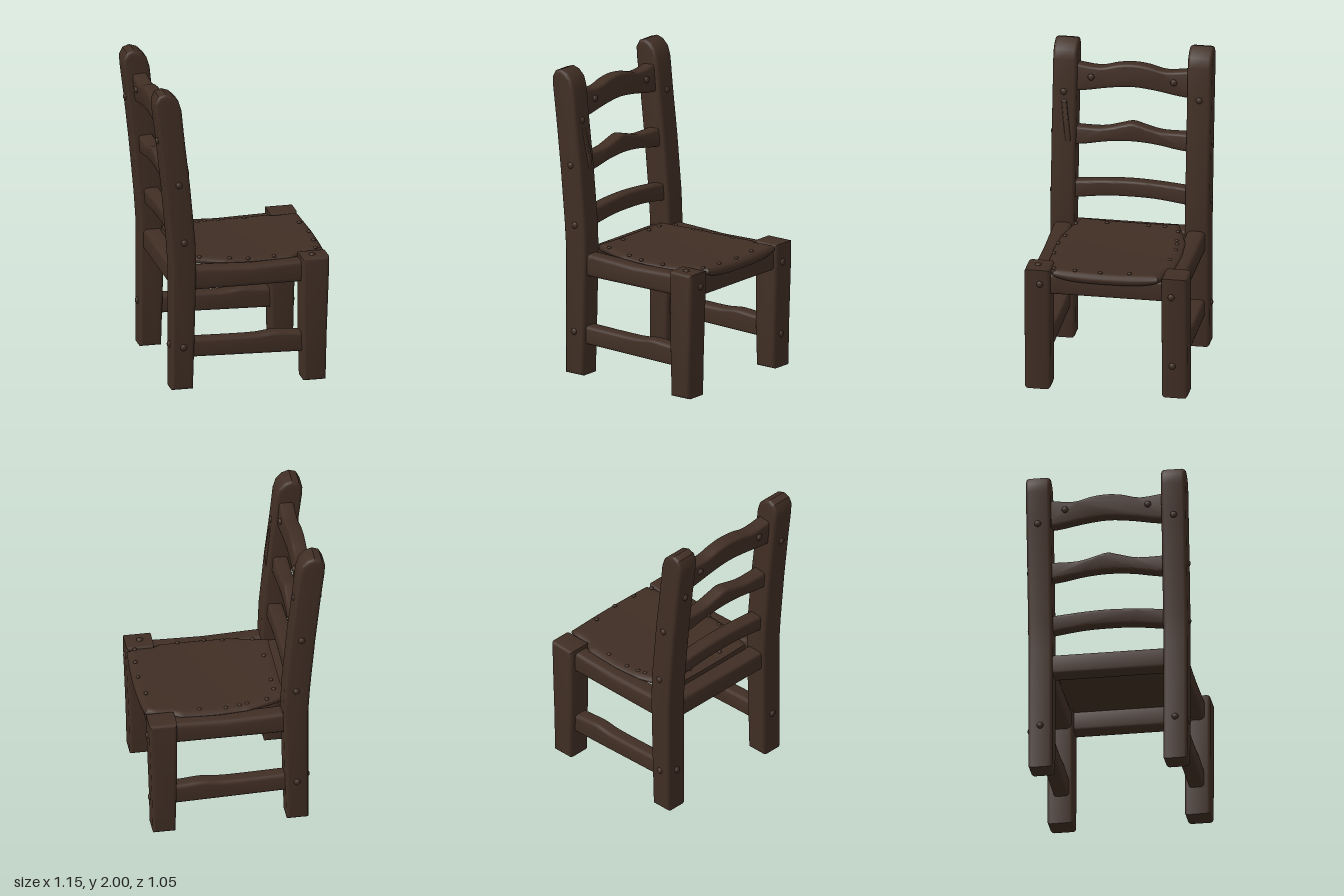
import * as THREE from 'three';
import { toCreasedNormals, mergeVertices } from 'three/addons/utils/BufferGeometryUtils.js';

const wood = new THREE.MeshStandardMaterial({ color: 0x402e24 });
wood.name = 'dark brown wood';

function add(group, name, geometry) {
  const mesh = new THREE.Mesh(geometry, wood);
  mesh.name = name;
  group.add(mesh);
  return mesh;
}

// Rounded slab: a closed outline in XY, centred in depth
function slab(points, depth, bevel = 0.022) {
  const shape = new THREE.Shape(points.map(([x, y]) => new THREE.Vector2(x, y)));
  const g = new THREE.ExtrudeGeometry(shape, {
    depth: depth - 2 * bevel, bevelEnabled: true, bevelThickness: bevel,
    bevelSize: bevel, bevelOffset: -bevel, bevelSegments: 3,
  });
  g.translate(0, 0, bevel - depth / 2);
  return toCreasedNormals(g, 0.6);
}

// Smooth samples through a few points
const smooth = (pts, n = 20) =>
  new THREE.SplineCurve(pts.map(([x, y]) => new THREE.Vector2(x, y))).getPoints(n).map((p) => [p.x, p.y]);

// Domed peg head, flattened along one axis
function peg(group, axis, x, y, z, r = 0.022) {
  const m = add(group, 'peg', new THREE.SphereGeometry(r, 12, 8));
  m.scale[axis] = 0.7;
  m.position.set(x, y, z);
}

// Leather seat: a subdivided box with shaped sides, sagging top and a front lip
function seatGeometry() {
  const outline = [[-0.345, 0.32], [-0.25, 0.355], [-0.1, 0.4], [0.1, 0.412], [0.34, 0.405],
    [0.39, 0.372], [0.5, 0.362], [0.56, 0.34]];
  const halfWidth = (x) => {
    for (let i = 1; i < outline.length; i++) {
      const [x0, w0] = outline[i - 1], [x1, w1] = outline[i];
      if (x <= x1) return THREE.MathUtils.lerp(w0, w1, (x - x0) / (x1 - x0));
    }
    return 0.34;
  };
  let g = new THREE.BoxGeometry(2, 2, 2, 48, 4, 28);
  g.deleteAttribute('uv');
  g.deleteAttribute('normal');
  g = mergeVertices(g);
  const p = g.attributes.position;
  for (let i = 0; i < p.count; i++) {
    const u = p.getX(i), v = p.getY(i), w = p.getZ(i);
    const x = THREE.MathUtils.lerp(-0.345, 0.56, (u + 1) / 2);
    const round = 1 - 0.025 * v * v;
    const lip = THREE.MathUtils.smoothstep(x, 0.46, 0.54) * (1 - w ** 4);
    const top = 0.838 - 0.022 * (1 - u * u) - 0.008 * (1 - w * w) - 0.012 * Math.max(u ** 24, w ** 24);
    const bottom = 0.785 - 0.025 * lip;
    const bulge = Math.max(0, u) ** 6 * 0.016 * (1 - w * w);
    p.setXYZ(i, x * (u > 0.95 ? round : 1) + bulge,
      THREE.MathUtils.lerp(bottom, top, (v + 1) / 2), halfWidth(x) * w * round);
  }
  return toCreasedNormals(g, 0.7);
}

export function createModel() {
  const chair = new THREE.Group();
  chair.name = 'ladderBackChair';

  const postOutline = [[-0.47, 0], [-0.33, 0], [-0.318, 0.4], [-0.308, 0.82], [-0.315, 1], [-0.35, 1.38],
    [-0.385, 1.68], [-0.405, 1.88], [-0.425, 1.945], [-0.465, 1.985], [-0.51, 2], [-0.555, 1.985],
    [-0.578, 1.94], [-0.575, 1.88], [-0.55, 1.68], [-0.515, 1.36], [-0.482, 1], [-0.47, 0.82]];
  const legOutline = [[0.39, 0], [0.535, 0], [0.542, 0.3], [0.556, 0.68], [0.558, 0.825], [0.38, 0.825], [0.38, 0.4]];
  const stretcherOutline = [[-0.37, 0.206], [0.45, 0.184],
    ...smooth([[0.45, 0.312], [0.32, 0.322], [0.2, 0.33], [0.05, 0.318], [-0.37, 0.328]])];

  for (const s of [1, -1]) {
    // Uprights and side frame
    add(chair, 'backPost', slab(postOutline, 0.157)).position.z = s * 0.435;
    add(chair, 'frontLeg', slab(legOutline, 0.168)).position.z = s * 0.443;
    add(chair, 'sideStretcher', slab(stretcherOutline, 0.1)).position.z = s * 0.435;
    const rail = slab([[-0.37, 0.655], [0.45, 0.655], [0.45, 0.8], [0.05, 0.79], [-0.37, 0.805]], 0.12, 0.03);
    add(chair, 'sideSeatRail', rail).position.z = s * 0.43;

    // Pegs on the outer sides
    for (const [x, y] of [[-0.425, 1.38], [-0.39, 0.99], [-0.395, 0.285]]) peg(chair, 'z', x, y, s * 0.512);
    // Pegs on the front and back faces
    peg(chair, 'x', -0.387, 1.67, s * 0.438);
    peg(chair, 'x', -0.549, 1.67, s * 0.438);
    peg(chair, 'x', -0.472, 0.29, s * 0.435);
    peg(chair, 'x', 0.556, s > 0 ? 0.73 : 0.7, s * 0.425);
    for (const x of [-0.416, -0.519]) peg(chair, 'x', x, 1.77, s * 0.267);
  }
  peg(chair, 'x', 0.54, 0.22, -0.43);
  peg(chair, 'y', 0.46, 0.823, 0.45);

  // Front and back seat rails
  const crossRail = [[-0.4, 0.655], [0.4, 0.655], [0.4, 0.79], [-0.4, 0.79]];
  for (const [name, x] of [['frontSeatRail', 0.475], ['backSeatRail', -0.39]]) {
    add(chair, name, slab(crossRail, 0.12).rotateY(-Math.PI / 2)).position.x = x;
  }

  // Curved ladder slats: mirrored bottom and top edges as [z, y]
  const slats = [
    { x: -0.396, y: 1.02, low: [[0.4, 0.95], [0.3, 0.965], [0.15, 0.982]], lowMid: 0.986, high: [[0.4, 1.065], [0.3, 1.075], [0.15, 1.087]], highMid: 1.092 },
    { x: -0.432, y: 1.39, low: [[0.4, 1.305], [0.3, 1.316], [0.15, 1.342]], lowMid: 1.352, high: [[0.4, 1.43], [0.2, 1.428], [0.08, 1.455]], highMid: 1.474 },
    { x: -0.468, y: 1.77, low: [[0.4, 1.663], [0.3, 1.672], [0.15, 1.698]], lowMid: 1.712, high: [[0.4, 1.852], [0.22, 1.83], [0.1, 1.856]], highMid: 1.866 },
  ];
  for (const { x, y, low, lowMid, high, highMid } of slats) {
    const edge = (pts, mid) => smooth([...pts.map(([z, h]) => [-z, h - y]), [0, mid - y],
      ...[...pts].reverse().map(([z, h]) => [z, h - y])], 24);
    const g = slab([...edge(low, lowMid), ...edge(high, highMid).reverse()], 0.095, 0.018);
    g.rotateY(-Math.PI / 2).rotateZ(0.085);
    add(chair, 'backSlat', g).position.set(x, y, 0);
  }

  // Raised splinter on one back post
  const splinter = slab([[-0.38, 1.62], [-0.4, 1.3], [-0.352, 1.29], [-0.337, 1.42], [-0.352, 1.5], [-0.37, 1.61]], 0.035, 0.008);
  const chip = add(chair, 'splinter', splinter.translate(0, -1.45, 0).rotateX(0.12));
  chip.position.set(0, 1.45, 0.415);

  // Seat and its tacks
  add(chair, 'seat', seatGeometry());
  const tacks = [[-0.29, -0.235], [-0.29, -0.13], [-0.29, 0.14], [-0.25, 0.335], [-0.06, 0.37], [0.055, 0.395],
    [0.225, 0.392], [0.51, 0.34], [0.53, 0.2], [0.54, 0.035], [0.52, -0.15], [0.21, -0.355], [0.04, -0.365],
    [-0.05, -0.355], [-0.1, -0.345], [-0.23, -0.33]];
  for (const [x, z] of tacks) peg(chair, 'y', x, 0.834 - 0.022 * (1 - ((x - 0.107) / 0.453) ** 2), z, 0.014);

  return chair;
}
